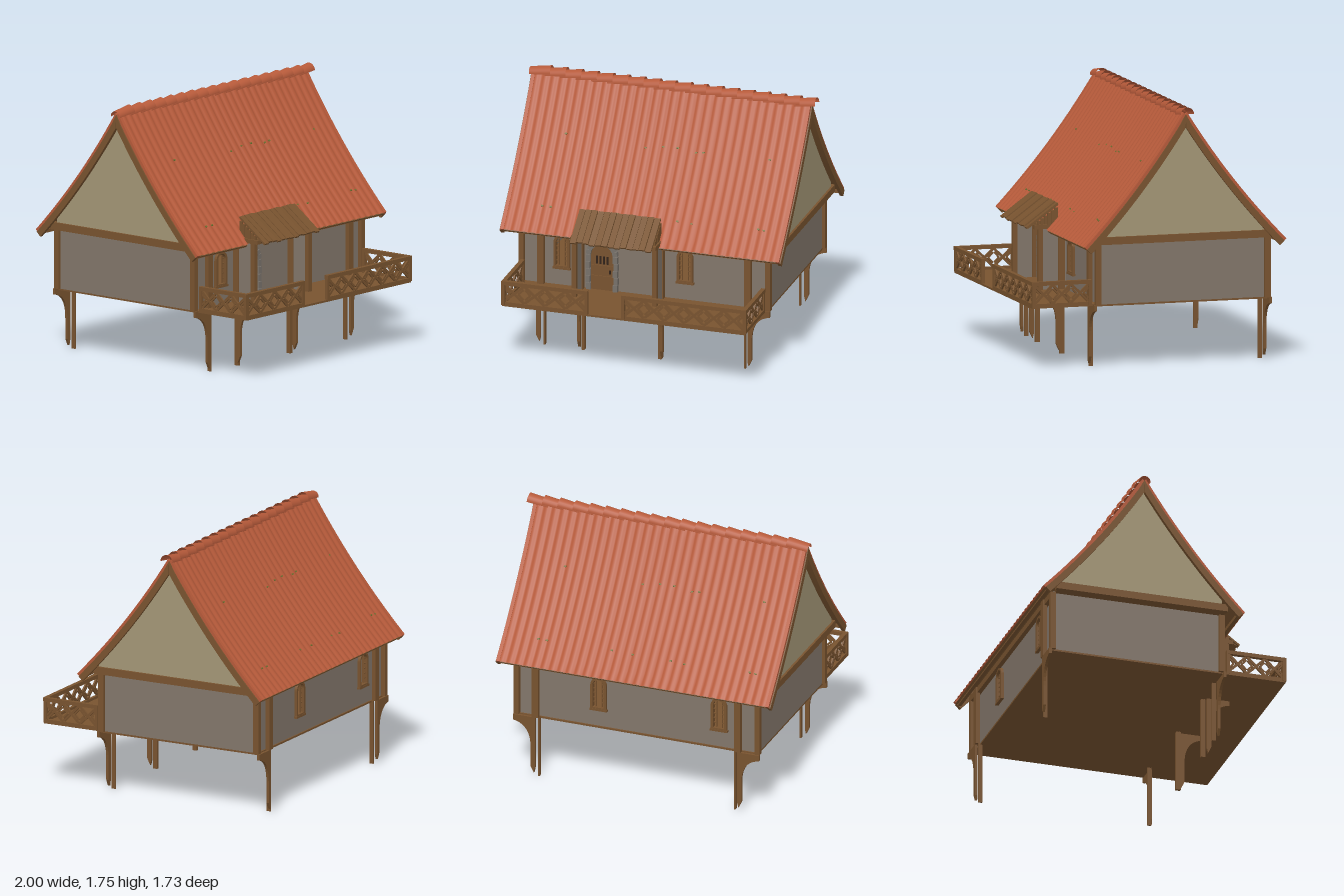
import * as THREE from 'three';

const mat = (name, color, side = THREE.FrontSide) => {
  const m = new THREE.MeshStandardMaterial({ color, side });
  m.name = name;
  return m;
};

export function createModel() {
  const root = new THREE.Group();
  root.name = 'stiltHouse';
  const wood = mat('wood', 0x78532f), wall = mat('plaster', 0x82766a, THREE.DoubleSide);
  const gableMat = mat('gablePlaster', 0xa39676), tile = mat('roofTile', 0xb65a3a, THREE.DoubleSide);
  const stone = mat('stone', 0x77716a), dark = mat('darkGap', 0x33241a), moss = mat('moss', 0x6f7030);

  const add = (name, geo, m, parent = root) => {
    const mesh = new THREE.Mesh(geo, m);
    mesh.name = name;
    parent.add(mesh);
    return mesh;
  };
  const group = (name, parent = root) => {
    const g = new THREE.Group();
    g.name = name;
    parent.add(g);
    return g;
  };
  // box given by its min and max on each axis
  const box = (name, x0, x1, y0, y1, z0, z1, m = wood, parent = root) => {
    const b = add(name, new THREE.BoxGeometry(x1 - x0, y1 - y0, z1 - z0), m, parent);
    b.position.set((x0 + x1) / 2, (y0 + y1) / 2, (z0 + z1) / 2);
    return b;
  };
  const extrude = (shape, depth) => new THREE.ExtrudeGeometry(shape, { depth, bevelEnabled: false, curveSegments: 10 });
  const bar = (name, x0, y0, x1, y1, w, d, parent) => {
    const b = add(name, new THREE.BoxGeometry(Math.hypot(x1 - x0, y1 - y0), w, d), wood, parent);
    b.position.set((x0 + x1) / 2, (y0 + y1) / 2, 0);
    b.rotation.z = Math.atan2(y1 - y0, x1 - x0);
    return b;
  };
  const arch = (w, y0, top, cx = 0, S = THREE.Shape) => {
    const s = new S();
    s.moveTo(cx - w, y0);
    s.lineTo(cx + w, y0);
    s.lineTo(cx + w, top - w);
    s.absarc(cx, top - w, w, 0, Math.PI, false);
    s.closePath();
    return s;
  };
  let seed = 7;
  const rand = () => (seed = (seed * 16807) % 2147483647) / 2147483647;

  // ---- floor, walls, ceiling
  box('houseFloor', -0.87, 0.84, 0.42, 0.432, -0.765, 0.42);
  box('deck', -0.865, 0.825, 0.422, 0.435, 0.41, 0.86);
  const windowX = [-0.595, 0.262];
  for (const [name, z] of [['frontWall', 0.38], ['backWall', -0.755]]) {
    const s = new THREE.Shape([[-0.865, 0.43], [0.835, 0.43], [0.835, 0.86], [-0.865, 0.86]].map(p => new THREE.Vector2(...p)));
    for (const x of windowX) s.holes.push(arch(0.042, 0.57, 0.775, x, THREE.Path));
    add(name, extrude(s, 0.02), wall).position.z = z;
    const sign = z > 0 ? 1 : -1;
    for (const x of windowX) {
      const win = group('window');
      win.position.set(x, 0, z > 0 ? 0.4 : -0.755);
      const f = arch(0.056, 0.555, 0.79);
      f.holes.push(arch(0.04, 0.572, 0.774, 0, THREE.Path));
      add('windowFrame', extrude(f, 0.04), wood, win).position.z = -0.02;
      for (const k of [-1, 1]) {
        bar('windowBar', k * 0.021, 0.57, k * 0.021, 0.76, 0.006, 0.01, win);
        for (let i = 0; i < 5; i++) bar('windowTick', k * 0.02, 0.605 + i * 0.033, k * 0.042, 0.605 + i * 0.033, 0.007, 0.01, win);
      }
      box('windowSill', -0.062, 0.062, 0.548, 0.562, -0.022, 0.022, wood, win);
    }
    // wall plate, corner posts, inset posts and legs with curved braces
    const zc = z > 0 ? 0.41 : -0.765;
    box('wallPlate', -0.89, 0.86, 0.8, 0.84, zc - 0.02, zc + 0.02);
    for (const k of [-1, 1]) {
      const cx = -0.015 + k * 0.857, lx = -0.015 + k * 0.72;
      box('cornerPost', cx - 0.018, cx + 0.018, 0.43, 0.84, zc - 0.02, zc + 0.02);
      box('insetPost', lx - 0.023, lx + 0.023, 0.43, 0.84, zc + sign * 0.015 - 0.015, zc + sign * 0.015 + 0.015);
      const ix = -0.015 + k * 0.697;
      box('leg', ix - 0.005, ix + 0.005, 0, 0.43, zc - 0.014, zc + 0.014);
      brace('legBrace', lx, zc + sign * 0.02, k > 0 ? 0 : Math.PI);
    }
  }
  function brace(name, x, z, turn) {
    const s = new THREE.Shape();
    s.moveTo(0, 0.06);
    s.lineTo(0, 0.43);
    s.lineTo(0.155, 0.43);
    s.lineTo(0.155, 0.39);
    s.quadraticCurveTo(0.03, 0.37, 0.03, 0.21);
    s.lineTo(0.03, 0.07);
    s.lineTo(0.008, 0.025);
    s.closePath();
    const b = add(name, extrude(s, 0.018).translate(0, 0, -0.009), wood);
    b.position.set(x, 0, z);
    b.rotation.y = turn;
  }
  box('leftWall', 0.82, 0.84, 0.43, 0.86, -0.75, 0.395, wall);
  box('rightWall', -0.87, -0.85, 0.43, 0.86, -0.75, 0.395, wall);
  box('ceiling', -0.93, 0.905, 0.842, 0.86, -0.75, 0.42);
  for (const x of [-0.93, 0.905]) box('gableBeam', x - 0.02, x + 0.02, 0.842, 0.892, -0.76, 0.43);

  // ---- roof: curved slope profile measured from the ridge
  const RIDGE_Z = -0.163;
  const curve = new THREE.QuadraticBezierCurve(new THREE.Vector2(0, 1.7), new THREE.Vector2(0.3, 1.225), new THREE.Vector2(0.69, 0.825));
  const at = (t, off) => {
    const p = curve.getPoint(t), g = curve.getTangent(t);
    return new THREE.Vector2(Math.max(0, p.x - g.y * off), p.y + g.x * off);
  };
  const N = 14;
  const edge = off => Array.from({ length: N + 1 }, (_, i) => at(i / N, off));
  const band = (name, lo, hi, x0, x1, m, parent) => {
    const s = new THREE.Shape([...edge(lo), ...edge(hi).reverse()]);
    add(name, extrude(s, x1 - x0).rotateY(-Math.PI / 2).translate(x1, 0, 0), m, parent);
  };
  const slope = group('roofSlope');
  const tiles = new THREE.PlaneGeometry(1.93, 1, 192, N);
  const P = tiles.attributes.position;
  for (let i = 0; i < P.count; i++) {
    const x = P.getX(i), p = at(0.5 - P.getY(i), 0.006 + 0.01 * Math.abs(Math.sin(x * Math.PI / 0.06)));
    P.setXYZ(i, x, p.y, p.x);
  }
  tiles.computeVertexNormals();
  add('wavyTiles', tiles, tile, slope);
  band('roofBoarding', -0.014, 0, -0.955, 0.955, wood, slope);
  for (const k of [-1, 1]) {
    band('vergeTiles', -0.008, 0.014, k * 0.958 - 0.012, k * 0.958 + 0.012, tile, slope);
    band('bargeboard', -0.048, -0.006, k * 0.966 - 0.012, k * 0.966 + 0.012, wood, slope);
  }
  const eave = at(0.985, -0.022);
  box('eaveBeam', -0.955, 0.955, eave.y - 0.012, eave.y + 0.012, eave.x - 0.012, eave.x + 0.012, wood, slope);
  for (const [t, xs] of [[0.36, [-0.66, -0.1, 0.02, 0.12, 0.25, 0.3, 0.76]], [0.8, [-0.72, -0.66, -0.2, -0.05, 0.22, 0.32, 0.78, 0.82]]]) {
    for (const x of xs) {
      const tt = t + rand() * 0.03, p = at(tt, 0.014), g = curve.getTangent(tt);
      const m = add('mossPatch', new THREE.BoxGeometry(0.016, 0.006, 0.01), moss, slope);
      m.position.set(x, p.y, p.x);
      m.rotation.x = Math.atan2(-g.y, g.x);
    }
  }
  slope.position.set(-0.015, 0, RIDGE_Z);
  const back = slope.clone();
  back.rotation.y = Math.PI;
  root.add(back);

  // gable triangles follow the underside of the roof
  const half = edge(-0.03).filter(p => p.y > 0.87);
  const last = half[half.length - 1];
  const tri = new THREE.Shape([...half, new THREE.Vector2(last.x, 0.86), new THREE.Vector2(-last.x, 0.86),
    ...half.slice(1).reverse().map(p => new THREE.Vector2(-p.x, p.y))]);
  for (const x of [-0.915, 0.91]) add('gable', extrude(tri, 0.02).rotateY(-Math.PI / 2).translate(x, 0, RIDGE_Z), gableMat);

  // overlapping half-round ridge tiles
  for (let i = 0; i < 18; i++) {
    const geo = new THREE.CylinderGeometry(0.046, 0.04, 0.15, 12, 1, true, 0, Math.PI).rotateZ(-Math.PI / 2).rotateX(Math.PI);
    geo.computeBoundingBox();
    if (geo.boundingBox.max.y < 0.02) geo.rotateX(Math.PI);
    const r = add('ridgeTile', geo, tile);
    r.position.set(-0.923 + i * 0.1085, 1.692, RIDGE_Z);
    r.rotation.z = 0.12;
  }

  // ---- railings: rails, end posts, crosses and nested chevrons
  const railing = (x, z, turn, len, cells) => {
    const g = group('railing');
    g.position.set(x, 0.43, z);
    g.rotation.y = turn;
    bar('topRail', 0, 0.157, len, 0.157, 0.026, 0.028, g);
    bar('bottomRail', 0, 0.012, len, 0.012, 0.022, 0.02, g);
    for (const px of [0.01, len - 0.01]) bar('railPost', px, 0, px, 0.165, 0.022, 0.024, g);
    const w = (len - 0.03) / cells;
    for (let i = 0; i < cells; i++) {
      const a = 0.015 + i * w, b = a + w, c = a + w / 2;
      bar('cross', a, 0.022, b, 0.146, 0.017, 0.012, g);
      bar('cross', a, 0.146, b, 0.022, 0.017, 0.011, g);
      for (const k of [-1, 1]) for (const j of [-1, 1])
        bar('chevron', c + k * w * 0.2, 0.084, c + k * w * 0.46, 0.084 + j * 0.035, 0.013, 0.01, g);
    }
  };
  railing(-0.87, 0.85, 0, 0.6, 4);
  railing(-0.035, 0.85, 0, 0.865, 6);
  railing(-0.855, 0.86, Math.PI / 2, 0.41, 3);
  railing(0.82, 0.86, Math.PI / 2, 0.41, 3);

  // ---- door with stone surround
  const DX = -0.312;
  add('door', extrude(arch(0.078, 0.43, 0.755, DX), 0.015), wood).position.z = 0.4;
  for (let i = 0; i < 4; i++) {
    const x = DX - 0.036 + i * 0.024;
    box('doorSlot', x - 0.006, x + 0.006, 0.62, 0.675, 0.413, 0.418, dark);
  }
  for (const y of [0.52, 0.595]) box('doorBatten', DX - 0.075, DX + 0.075, y, y + 0.016, 0.41, 0.422);
  box('doorHandle', DX + 0.05, DX + 0.06, 0.555, 0.58, 0.414, 0.426, dark);
  for (let i = 0; i < 9; i++) {
    const a = Math.PI * (i + 0.5) / 9;
    const s = add('archStone', new THREE.BoxGeometry(0.033, 0.03, 0.045), stone);
    s.position.set(DX + Math.cos(a) * 0.092, 0.685 + Math.sin(a) * 0.092, 0.41);
    s.rotation.z = a;
  }
  for (const k of [-1, 1]) for (let i = 0; i < 5; i++) {
    const x = DX + k * (0.093 + (i % 2) * 0.004), y = 0.435 + i * 0.05;
    box('jambStone', x - 0.015, x + 0.015, y, y + 0.046, 0.39, 0.432, stone);
  }

  // ---- porch
  for (const [x, k] of [[-0.452, -1], [0.107, 1]]) {
    box('porchPost', x - 0.016, x + 0.016, 0.43, 0.87, 0.56, 0.592);
    box('porchWallPost', x - 0.016, x + 0.016, 0.43, 0.87, 0.41, 0.455);
    box('porchSideWall', x - 0.008, x + 0.008, 0.43, 0.86, 0.4, 0.565, wall);
    box('porchSideBeam', x - 0.018, x + 0.018, 0.842, 0.87, 0.42, 0.62);
    for (let i = 0; i < 6; i++) {
      const z = 0.455 + i * 0.024;
      box('porchGablePlank', x - 0.007, x + 0.007, 0.86, 0.987 - (z - 0.445) * 0.7, z, z + 0.022);
    }
    box('porchLeg', x - k * 0.012 - 0.011, x - k * 0.012 + 0.011, 0, 0.43, 0.405, 0.437);
    brace('porchBrace', x + k * 0.008, 0.44, -Math.PI / 2);
  }
  box('porchFrontBeam', -0.47, 0.125, 0.845, 0.872, 0.562, 0.59);
  const porchRoof = group('porchRoof');
  porchRoof.position.set(-0.172, 0.922, 0.558);
  porchRoof.rotation.x = Math.atan2(0.155, 0.215);
  for (let i = 0; i < 13; i++) {
    const len = 0.26 + rand() * 0.014;
    const p = box('roofPlank', -0.283 + i * 0.0436, -0.283 + i * 0.0436 + 0.04, 0, 0.013, -0.135, -0.135 + len, wood, porchRoof);
    p.position.y += (i % 3) * 0.003;
    p.rotation.z = (rand() - 0.5) * 0.12;
  }
  box('plankBacking', -0.27, 0.27, -0.006, 0.002, -0.13, 0.12, wood, porchRoof);
  return root;
}
